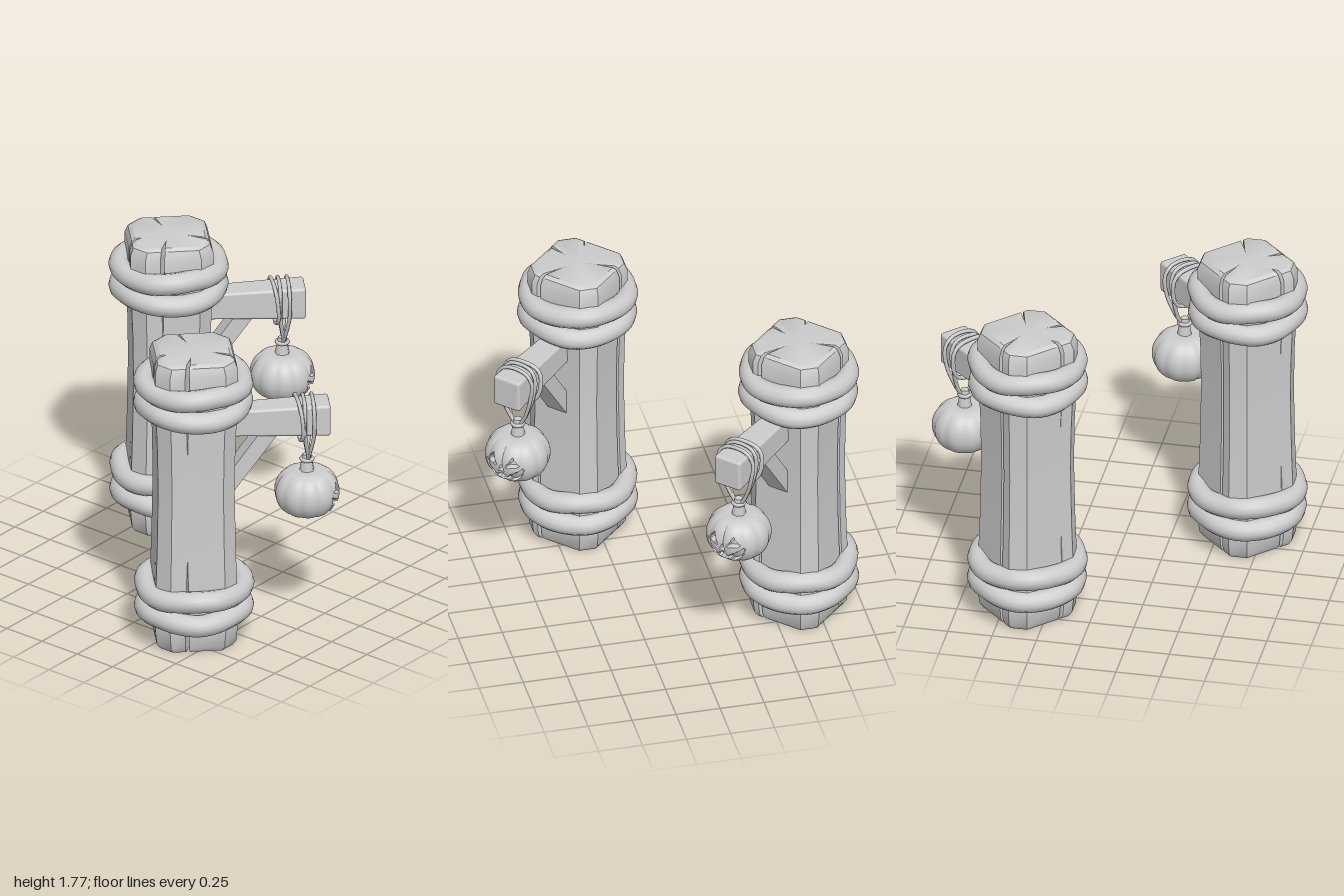
import * as THREE from 'three';
import { toCreasedNormals } from 'three/addons/utils/BufferGeometryUtils.js';
import { RoundedBoxGeometry } from 'three/addons/geometries/RoundedBoxGeometry.js';

const stone = new THREE.MeshStandardMaterial({ color: 0xcccccc });
stone.name = 'plainGrey';

function add(parent, name, geometry, x = 0, y = 0, z = 0) {
  const mesh = new THREE.Mesh(geometry, stone);
  mesh.name = name;
  mesh.position.set(x, y, z);
  parent.add(mesh);
  return mesh;
}

// Post: chamfered square section with one crack in each face, lofted upwards
function postGeometry() {
  const levels = [[0, 0.88], [0.03, 0.96], [0.13, 1], [0.3, 0.99], [0.6, 0.95], [0.95, 0.925],
    [1.2, 0.94], [1.45, 0.98], [1.6, 1], [1.71, 1], [1.755, 0.93], [1.77, 0.84]];
  // crack position along the face, depth at the ends, depth in the middle
  const cracks = [[0.11, 0.5, 0], [0.06, 0.42, 0], [-0.08, 0.2, 0], [-0.08, 0.5, 0.12]];
  const section = (y, s) => {
    const end = THREE.MathUtils.clamp((Math.abs(y - 0.885) - 0.5) / 0.37, 0, 1);
    const points = [];
    cracks.forEach(([t, deep, mid], k) => {
      const d = Math.max(mid, deep * end);
      const w = 0.011 * Math.min(1, d * 8);
      const face = [[0.23, -0.155], [0.23, t - w], [0.23 * (1 - d), t * (1 - d)],
        [0.23, t + w + 0.0005], [0.23, 0.155]];
      for (let [x, z] of face) {
        for (let i = 0; i < k; i++) [x, z] = [-z, x];
        points.push([x * s, y, z * s]);
      }
    });
    return points;
  };
  const rings = levels.map(([y, s]) => section(y, s));
  const n = rings[0].length, pos = [], index = [];
  rings.forEach((r) => r.forEach((p) => pos.push(...p)));
  const base = pos.length / 3;
  pos.push(0, 0, 0, 0, 1.775, 0);
  const last = (rings.length - 1) * n;
  for (let j = 0; j < n; j++) {
    const k = (j + 1) % n;
    for (let i = 0; i < last; i += n) {
      index.push(i + j, i + n + j, i + k, i + k, i + n + j, i + n + k);
    }
    index.push(base, j, k, base + 1, last + k, last + j);
  }
  const g = new THREE.BufferGeometry();
  g.setAttribute('position', new THREE.Float32BufferAttribute(pos, 3));
  g.setIndex(index);
  return toCreasedNormals(g, 0.6);
}

function ropeGeometry(points, radius, segments, sides) {
  const curve = new THREE.CatmullRomCurve3(points.map((p) => new THREE.Vector3(...p)), true);
  return new THREE.TubeGeometry(curve, segments, radius, sides, true);
}

// Thick ring round the post, slightly uneven
function ringGeometry(seed) {
  const points = [];
  for (let i = 0; i < 16; i++) {
    const a = -i / 16 * Math.PI * 2;
    const r = 0.271 + 0.005 * Math.sin(a * 5 + seed);
    points.push([r * Math.cos(a), 0.008 * Math.sin(a * 3 + seed * 2), r * Math.sin(a)]);
  }
  return ropeGeometry(points, 0.061, 56, 12);
}

// Half outlines of the carved face, mirrored by |z|
const eye = [[0.028, 0.008], [0.1, 0.018], [0.062, 0.066]];
const nose = [[-0.01, 0.012], [0, 0.012], [0.02, -0.024], [-0.01, -0.024]];
const mouth = [[-0.01, -0.045], [0.02, -0.045], [0.024, -0.062], [0.044, -0.056], [0.05, -0.04],
  [0.08, -0.026], [0.122, 0.004], [0.102, -0.055], [0.064, -0.09], [0.042, -0.098],
  [0.038, -0.08], [0.016, -0.084], [0.01, -0.104], [-0.01, -0.104]];

function inside(poly, x, y) {
  let hit = false;
  poly.forEach(([ax, ay], i) => {
    const [bx, by] = poly[(i + 1) % poly.length];
    if ((ay > y) !== (by > y) && x < (bx - ax) * (y - ay) / (by - ay) + ax) hit = !hit;
  });
  return hit;
}

// Ribbed pumpkin, mesh denser towards +x where the face is sunk in
function pumpkinGeometry() {
  const g = new THREE.SphereGeometry(1, 120, 84);
  const p = g.attributes.position;
  for (let i = 0; i < p.count; i++) {
    const ny = THREE.MathUtils.clamp(p.getY(i), -1, 1);
    const s = Math.atan2(p.getZ(i), p.getX(i)) / Math.PI;
    const a = Math.PI * s * (0.35 + 0.65 * s * s);
    const rib = 0.93 + 0.07 * Math.sqrt(Math.abs(Math.sin(a * 5)));
    const r = 0.182 * rib * Math.pow(Math.max(0, 1 - ny * ny), 0.42);
    let x = r * Math.cos(a), z = r * Math.sin(a);
    let y = 0.148 * ny * (1 - 0.15 * Math.pow(ny, 10));
    if (x > 0 && [eye, nose, mouth].some((shape) => inside(shape, Math.abs(z), y))) x -= 0.035;
    p.setXYZ(i, x, y, z);
  }
  return toCreasedNormals(g, 0.7);
}

// Beam, a little thicker at its free end
function beamGeometry() {
  const g = new RoundedBoxGeometry(0.575, 0.19, 0.17, 2, 0.018);
  const p = g.attributes.position;
  for (let i = 0; i < p.count; i++) {
    const s = 0.9 + 0.1 * p.getX(i) / 0.2875;
    p.setY(i, p.getY(i) * s);
    p.setZ(i, p.getZ(i) * s);
  }
  return g;
}

// Slanted brace under the beam
function braceGeometry() {
  const shape = new THREE.Shape([[0.17, 0.905], [0.215, 0.905], [0.47, 1.26], [0.36, 1.26], [0.17, 0.99]]
    .map(([x, y]) => new THREE.Vector2(x, y)));
  return new THREE.ExtrudeGeometry(shape, { depth: 0.12, bevelEnabled: false }).translate(0, 0, -0.06);
}

function createPost() {
  const post = new THREE.Group();
  add(post, 'post', postGeometry());
  [0.2, 0.33, 1.45, 1.58].forEach((y, i) => add(post, 'ring', ringGeometry(i * 1.7), 0, y, 0));
  add(post, 'beam', beamGeometry(), 0.4675, 1.325, 0);
  add(post, 'brace', braceGeometry());

  // Cord wrapped round the beam, and the long loop carrying the lantern
  add(post, 'cordWrap', ropeGeometry([[0.57, 1.425, -0.07], [0.58, 1.43, 0.07], [0.59, 1.38, 0.11],
    [0.6, 1.25, 0.1], [0.59, 1.2, 0.05], [0.59, 1.2, -0.05], [0.58, 1.25, -0.1], [0.57, 1.38, -0.11]],
  0.012, 48, 6));
  [[0.61, 0.098], [0.66, 0.108]].forEach(([x, w]) => add(post, 'hangingCord', ropeGeometry(
    [[x, 1.432, -0.06], [x, 1.432, 0.06], [x, 1.38, w], [x, 1.25, w - 0.01], [0.635, 1.08, 0.03],
      [0.635, 1.055, 0], [0.635, 1.08, -0.03], [x, 1.25, 0.01 - w], [x, 1.38, -w]], 0.011, 64, 6)));

  const lantern = new THREE.Group();
  lantern.name = 'pumpkinLantern';
  lantern.position.set(0.63, 0.865, 0);
  post.add(lantern);
  add(lantern, 'pumpkin', pumpkinGeometry());
  add(lantern, 'stem', new THREE.CylinderGeometry(0.024, 0.045, 0.12, 7), 0, 0.165, 0);
  add(lantern, 'stemCord', new THREE.TorusGeometry(0.032, 0.011, 6, 16).rotateX(Math.PI / 2), 0, 0.195, 0);
  return post;
}

export function createModel() {
  const model = new THREE.Group();
  model.name = 'lanternPosts';
  const back = createPost();
  back.name = 'backPost';
  back.rotation.y = Math.PI / 4;
  back.position.set(-0.655, 0, -0.37);
  const front = back.clone();
  front.name = 'frontPost';
  front.position.set(0.355, 0, 0.665);
  model.add(back, front);
  return model;
}
